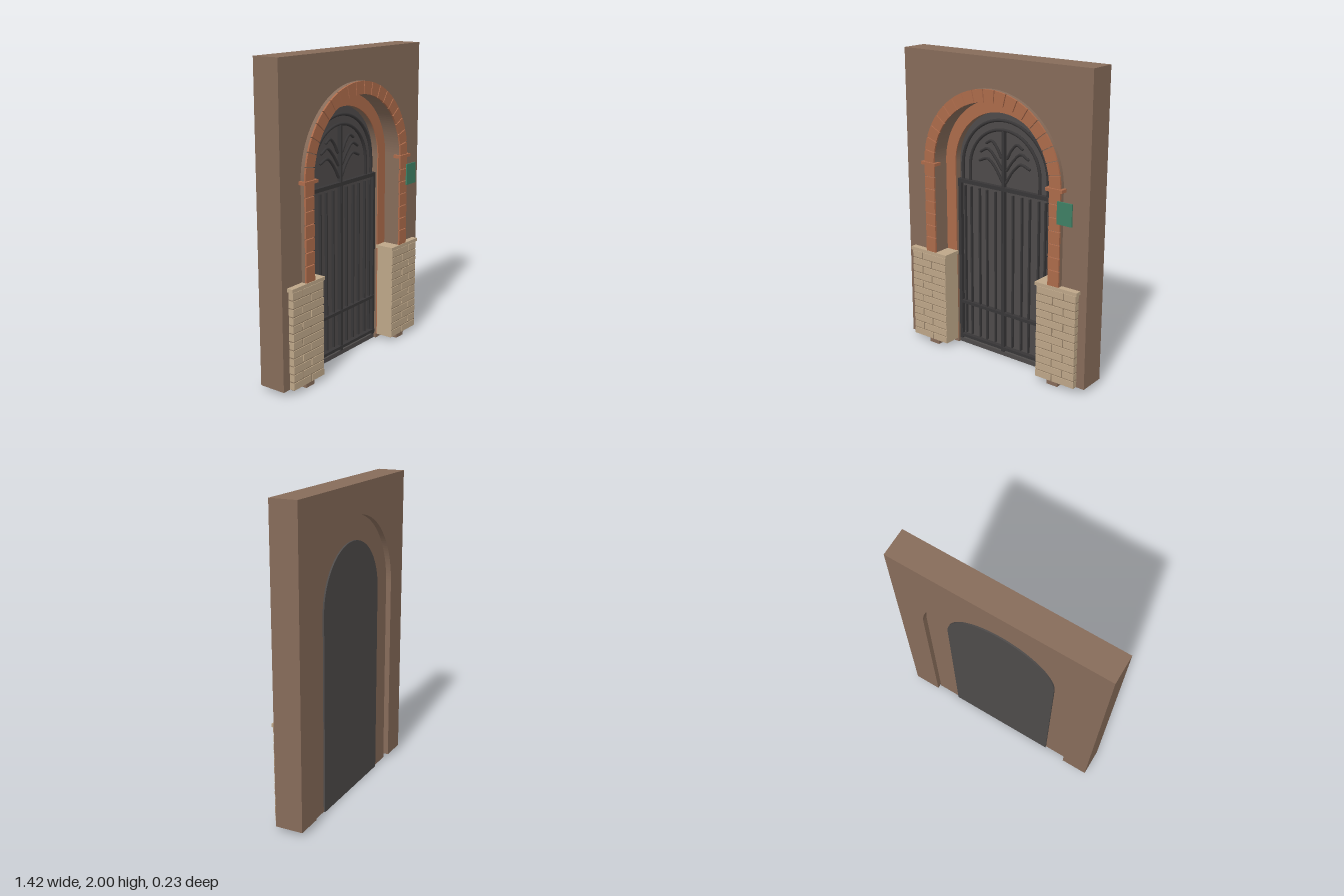
import * as THREE from 'three';

const mat = (name, color, side = THREE.FrontSide) => {
  const m = new THREE.MeshStandardMaterial({ color, side });
  m.name = name;
  return m;
};

export function createModel() {
  const root = new THREE.Group();
  root.name = 'archedGateway';
  const wallBrown = mat('wall brown', 0x876c5a);
  const brick = mat('brick orange', 0xad6b4b);
  const stone = mat('sandstone', 0xbea789);
  const mortar = mat('stone mortar', 0x8f7a62);
  const doorGray = mat('door gray', 0x4e4b4a);
  const iron = mat('gate iron', 0x383637);
  const green = mat('plaque green', 0x3f8064);

  const CY = 1.28; // springing height of the arch
  const group = (name, parent = root) => {
    const g = new THREE.Group();
    g.name = name;
    parent.add(g);
    return g;
  };
  const add = (name, geo, material, parent = root) => {
    const m = new THREE.Mesh(geo, material);
    m.name = name;
    parent.add(m);
    return m;
  };
  // box given by its limits
  const box = (name, x0, x1, y0, y1, z0, z1, material, parent) => {
    const m = add(name, new THREE.BoxGeometry(Math.abs(x1 - x0), y1 - y0, z1 - z0), material, parent);
    m.position.set((x0 + x1) / 2, (y0 + y1) / 2, (z0 + z1) / 2);
    return m;
  };
  const extrude = (name, shape, z0, z1, material, parent) => {
    const geo = new THREE.ExtrudeGeometry(shape, { depth: z1 - z0, bevelEnabled: false, curveSegments: 40 });
    return add(name, geo.translate(0, 0, z0), material, parent);
  };
  // finishes an outline along the inside of an arched opening, from left foot to right foot
  const cutArch = (shape, r, y0) => {
    shape.lineTo(-r, y0);
    shape.lineTo(-r, CY);
    shape.absarc(0, CY, r, Math.PI, 0, true);
    shape.lineTo(r, y0);
    shape.closePath();
    return shape;
  };
  const archOutline = (r, y0) => {
    const s = new THREE.Shape();
    s.moveTo(r, y0);
    s.lineTo(r, CY);
    s.absarc(0, CY, r, 0, Math.PI, false);
    s.lineTo(-r, y0);
    return s;
  };
  const archBand = (rIn, rOut, y0) => cutArch(archOutline(rOut, y0), rIn, y0);

  // wall with arched opening
  const wall = new THREE.Shape();
  wall.moveTo(0.71, 0.03);
  wall.lineTo(0.71, 2);
  wall.lineTo(-0.71, 2);
  wall.lineTo(-0.71, 0.03);
  extrude('wall', cutArch(wall, 0.53, 0.03), -0.115, 0.065, wallBrown);

  // stepped surround
  extrude('outerSurround', archBand(0.45, 0.53, 0), -0.08, 0.09, wallBrown);
  extrude('innerSurround', archBand(0.37, 0.45, 0), -0.08, -0.028, wallBrown);
  extrude('innerSurroundFacing', archBand(0.37, 0.45, 0.03), -0.028, -0.02, brick);

  // brick facing on the outer surround
  const bricks = group('brickArch');
  const COUNT = 19, STEP = Math.PI / COUNT, GAP = 0.006;
  for (let i = 0; i < COUNT; i++) {
    const a0 = i * STEP + GAP, a1 = (i + 1) * STEP - GAP;
    const s = new THREE.Shape();
    s.absarc(0, CY, 0.53, a0, a1, false);
    s.absarc(0, CY, 0.45, a1, a0, true);
    s.closePath();
    const geo = new THREE.ExtrudeGeometry(s, { depth: 0.012, bevelEnabled: false, curveSegments: 4 });
    add('archBrick', geo.translate(0, 0, 0.09), brick, bricks);
  }

  // stone courses and brick jambs on both sides
  for (const s of [-1, 1]) {
    const side = s < 0 ? 'right' : 'left';
    const jamb = group(side + 'Jamb');
    for (let y = 0.69; y < 1.25; y += 0.083) {
      box('jambBrick', s * 0.45, s * 0.53, y === 0.69 ? 0.67 : y + 0.003, Math.min(y + 0.08, 1.268), 0.09, 0.102, brick, jamb);
    }
    box('impost', s * 0.43, s * 0.55, 1.266, 1.286, 0.06, 0.115, brick, jamb);

    const pier = group(side + 'Pier');
    box('pierCore', s * 0.372, s * 0.653, 0.031, 0.65, -0.025, 0.097, mortar, pier);
    box('pierReveal', s * 0.37, s * 0.374, 0.03, 0.65, -0.025, 0.097, stone, pier);
    box('pierCap', s * 0.36, s * 0.665, 0.65, 0.672, -0.025, 0.106, stone, pier);
    const rowH = 0.62 / 12, g = 0.004;
    for (let r = 0; r < 12; r++) {
      const y = 0.03 + r * rowH;
      const cuts = [0.37 - g, r % 2 ? 0.57 : 0.49, 0.655 + g];
      for (let k = 0; k < 2; k++) {
        box('pierStone', s * (cuts[k] + g), s * (cuts[k + 1] - g), y + g, y + rowH - g, 0.066, 0.102, stone, pier);
      }
    }
  }

  // door panel behind the gate
  extrude('doorPanel', archOutline(0.372, 0), -0.09, -0.07, doorGray);

  // gate frame and bars
  const gate = group('gate');
  const Z0 = -0.066, Z1 = -0.04;
  for (const s of [-1, 1]) {
    box('gateStile', s * 0.345, s * 0.367, 0.03, 1.17, Z0, Z1, iron, gate);
    box('meetingStile', s * 0.001, s * 0.012, 0.03, 1.17, Z0, Z1, iron, gate);
    for (const x of [0.07, 0.14, 0.2, 0.27, 0.32]) {
      box('gateBar', s * (x - 0.005), s * (x + 0.005), 0.075, 1.125, Z0, Z1 - 0.008, iron, gate);
    }
  }
  for (const [y0, y1] of [[1.145, 1.17], [0.295, 0.315], [0.045, 0.065]]) {
    box('gateRail', -0.365, 0.365, y0, y1, Z0, Z1 + 0.003, iron, gate);
  }
  box('gateThreshold', -0.37, 0.37, 0, 0.03, -0.072, -0.045, doorGray, gate);

  // arched fanlight ironwork
  const fan = group('fanlight');
  for (const r of [0.335, 0.275]) {
    const path = new THREE.CurvePath();
    const arc = [];
    for (let i = 0; i <= 24; i++) {
      const a = (i / 24) * Math.PI;
      arc.push(new THREE.Vector3(r * Math.cos(a), 1.26 + r * Math.sin(a), -0.055));
    }
    path.add(new THREE.LineCurve3(new THREE.Vector3(r, 1.165, -0.055), arc[0]));
    path.add(new THREE.CatmullRomCurve3(arc));
    path.add(new THREE.LineCurve3(arc[24], new THREE.Vector3(-r, 1.165, -0.055)));
    add('fanlightArch', new THREE.TubeGeometry(path, 64, 0.01, 8), iron, fan);
  }
  box('fanlightPost', -0.009, 0.009, 1.165, 1.53, Z0, Z1, iron, fan);
  const fronds = [
    [[0.025, 1.36], [0.06, 1.42], [0.1, 1.455], [0.14, 1.435]],
    [[0.02, 1.28], [0.07, 1.35], [0.13, 1.4], [0.185, 1.375]],
    [[0.015, 1.2], [0.07, 1.285], [0.13, 1.335], [0.195, 1.315]],
  ];
  for (const s of [-1, 1]) {
    for (const pts of fronds) {
      const curve = new THREE.CatmullRomCurve3(pts.map(([x, y]) => new THREE.Vector3(s * x, y, -0.055)));
      add('frond', new THREE.TubeGeometry(curve, 20, 0.009, 8), iron, fan);
      for (const [x, y] of [pts[0], pts[3]]) {
        add('frondTip', new THREE.SphereGeometry(0.009, 8, 6), iron, fan).position.set(s * x, y, -0.055);
      }
    }
  }

  // plaque beside the arch
  box('plaque', 0.515, 0.62, 1.075, 1.215, 0.103, 0.112, green);
  return root;
}
